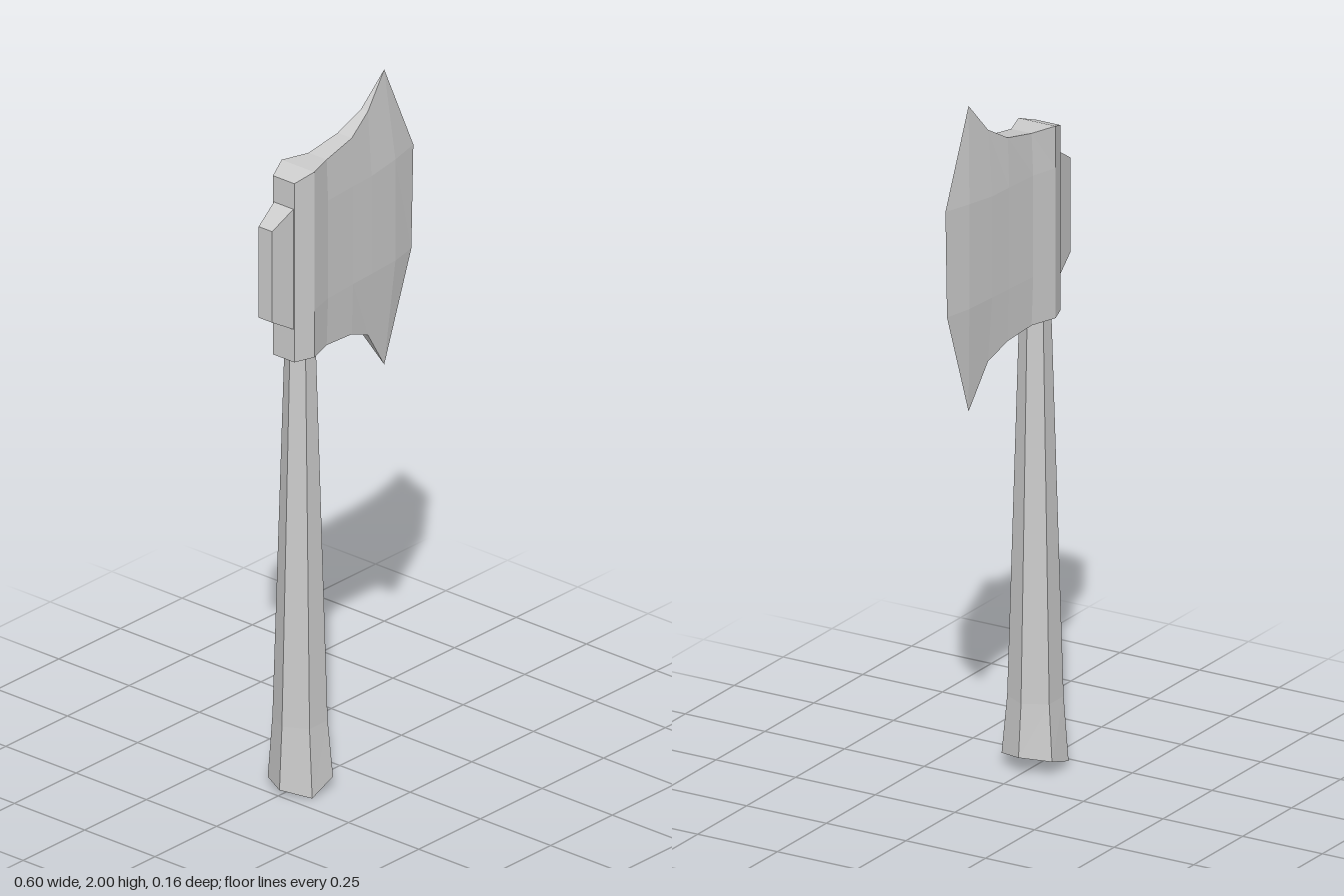
import * as THREE from 'three';

const material = new THREE.MeshStandardMaterial({ color: 0xcccccc, flatShading: true });

// Joins rings of equal point count into a faceted skin; rings run counter-clockwise seen from the last ring
function loft(name, rings) {
  const n = rings[0].length;
  const index = [];
  for (let r = 0; r < rings.length - 1; r++) {
    for (let i = 0; i < n; i++) {
      const j = (i + 1) % n;
      const a = r * n + i, b = r * n + j, c = a + n, d = b + n;
      index.push(a, b, d, a, d, c);
    }
  }
  const last = (rings.length - 1) * n;
  for (let i = 1; i < n - 1; i++) {
    index.push(0, i + 1, i, last, last + i, last + i + 1);
  }
  const indexed = new THREE.BufferGeometry();
  indexed.setAttribute('position', new THREE.Float32BufferAttribute(rings.flat(2), 3));
  indexed.setIndex(index);
  const geometry = indexed.toNonIndexed();
  geometry.computeVertexNormals();
  const mesh = new THREE.Mesh(geometry, material);
  mesh.name = name;
  return mesh;
}

// Ring of the head: rows of [x, y, half thickness] from bottom to top, mirrored front to back
function headRing(rows) {
  const back = rows.map(([x, y, t]) => [x, y, -t]);
  const front = rows.map(([x, y, t]) => [x, y, t]).reverse();
  return [...back, ...front];
}

// Straight station of the head: outer rows may be thinner than the middle
const station = (x, bottom, top, mid, outer) => headRing([
  [x, bottom, outer], [x, 1.43, mid], [x, 1.72, mid], [x, top, outer],
]);

// Six-sided ring of the handle; dy shifts each corner vertically
function handleRing(y, x0, x1, halfZ, dy = [0, 0, 0, 0, 0, 0]) {
  const mid = (x0 + x1) / 2, q = (x1 - x0) * 0.25;
  return [
    [x1, y + dy[0], 0], [mid + q, y + dy[1], -halfZ], [mid - q, y + dy[2], -halfZ],
    [x0, y + dy[3], 0], [mid - q, y + dy[4], halfZ], [mid + q, y + dy[5], halfZ],
  ];
}

export function createModel() {
  const group = new THREE.Group();
  group.name = 'axe';

  // Tapered handle with a flared, slanted butt
  group.add(loft('handle', [
    handleRing(0, -0.245, -0.075, 0.079, [0.05, 0.04, 0.015, 0.015, 0.0, 0.035]),
    handleRing(0.2, -0.235, -0.088, 0.066),
    handleRing(1.4, -0.2, -0.122, 0.035),
  ]));

  // Eye and blade, ending in two swept tips and a sharp edge
  const topTip = [0.18, 2.0, 0], bottomTip = [0.18, 1.125, 0];
  group.add(loft('axeHead', [
    station(-0.228, 1.29, 1.82, 0.038, 0.038),
    station(-0.17, 1.29, 1.84, 0.058, 0.058),
    station(-0.09, 1.29, 1.84, 0.037, 0.032),
    station(0.02, 1.28, 1.862, 0.029, 0.025),
    station(0.1, 1.245, 1.908, 0.025, 0.012),
    headRing([bottomTip, [0.205, 1.43, 0.018], [0.205, 1.73, 0.018], topTip]),
    headRing([bottomTip, [0.29, 1.43, 0], [0.298, 1.735, 0], topTip]),
  ]));

  // Tapered block behind the eye
  group.add(loft('poll', [
    headRing([[-0.302, 1.43, 0.024], [-0.302, 1.7, 0.024]]),
    headRing([[-0.225, 1.385, 0.035], [-0.225, 1.745, 0.035]]),
  ]));

  return group;
}
